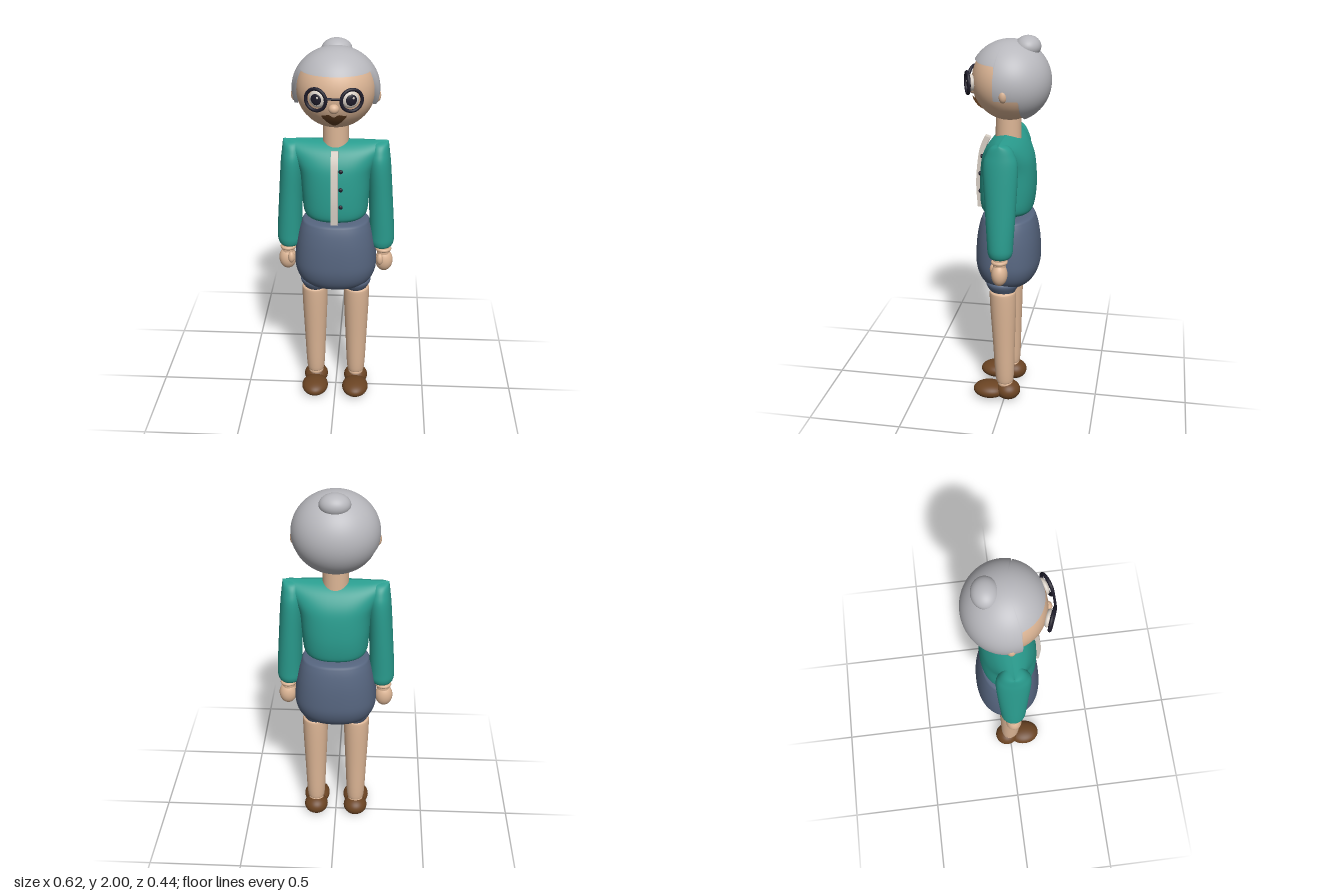
import * as THREE from 'three';
import { ParametricGeometry } from 'three/addons/geometries/ParametricGeometry.js';

const paint = (name, color, side = THREE.FrontSide) => {
  const m = new THREE.MeshStandardMaterial({ color, side });
  m.name = name;
  return m;
};

// Smooth closed loft through sections [y, centreX, centreZ, halfWidth, halfDepth], bottom to top.
function loft(sections, power = 2, sides = 40, steps = 5) {
  const pos = [], idx = [], n = sections.length;
  const rows = (n - 1) * steps;
  const at = (i, k) => sections[Math.min(n - 1, Math.max(0, i))][k];
  const spline = (t, k) => {
    const i = Math.min(n - 2, Math.floor(t)), f = t - i;
    const a = at(i, k), b = at(i + 1, k);
    const m0 = (b - at(i - 1, k)) / 2, m1 = (at(i + 2, k) - a) / 2;
    const f2 = f * f, f3 = f2 * f;
    return (2 * f3 - 3 * f2 + 1) * a + (f3 - 2 * f2 + f) * m0 + (3 * f2 - 2 * f3) * b + (f3 - f2) * m1;
  };
  const round = (c) => Math.sign(c) * Math.abs(c) ** (2 / power);
  for (let r = 0; r <= rows; r++) {
    const [y, cx, cz, rx, rz] = [0, 1, 2, 3, 4].map((k) => spline(r / steps, k));
    for (let s = 0; s < sides; s++) {
      const a = (s / sides) * Math.PI * 2;
      pos.push(cx + rx * round(Math.cos(a)), y, cz + rz * round(Math.sin(a)));
      if (r < rows) {
        const p = r * sides + s, q = r * sides + ((s + 1) % sides);
        idx.push(p, p + sides, q, q, p + sides, q + sides);
      }
    }
  }
  const g = new THREE.BufferGeometry();
  g.setAttribute('position', new THREE.Float32BufferAttribute(pos, 3));
  g.setIndex(idx);
  g.computeVertexNormals();
  return g;
}

// Hair cap: a sphere whose lower edge follows the fringe, sideburns and nape.
function hairCap() {
  const g = new THREE.SphereGeometry(1, 144, 40, 0, Math.PI * 2, 0, Math.PI / 2);
  const { position, normal, uv } = g.attributes;
  const edge = (s) => {
    if (s > 0.28) return Math.acos(0.507);
    if (s > -0.375) return Math.acos(-0.353);
    return Math.PI - Math.asin(0.351 / -s);
  };
  for (let i = 0; i < position.count; i++) {
    const phi = uv.getX(i) * Math.PI * 2, v = uv.getY(i) ? 1 - uv.getY(i) : 1;
    const t = v * edge(Math.sin(phi));
    const p = new THREE.Vector3(-Math.cos(phi) * Math.sin(t), Math.cos(t), Math.sin(phi) * Math.sin(t));
    normal.setXYZ(i, p.x, p.y, p.z);
    if (v > 0.999) p.multiplyScalar(0.93); // turned-in rim
    position.setXYZ(i, p.x, p.y, p.z);
  }
  return g;
}

export function createModel() {
  const model = new THREE.Group();
  model.name = 'elderlyFigure';
  const skin = paint('skin', 0xdcb595);
  const teal = paint('tealCardigan', 0x2a9d8f);
  const slate = paint('slateSkirt', 0x56657f);
  const brown = paint('brownShoe', 0x6b4423);
  const grey = paint('greyHair', 0xb8b8bd, THREE.DoubleSide);
  const dark = paint('darkFrame', 0x1f1d2b);
  const cream = paint('creamTrim', 0xd9d0c6);
  const lip = paint('brownMouth', 0x5c3a1e, THREE.DoubleSide);

  const add = (name, geometry, material, x = 0, y = 0, z = 0, parent = model) => {
    const m = new THREE.Mesh(geometry, material);
    m.name = name;
    m.position.set(x, y, z);
    parent.add(m);
    return m;
  };
  const ball = (name, material, x, y, z, rx, ry, rz, parent) => {
    const m = add(name, new THREE.SphereGeometry(1, 40, 28), material, x, y, z, parent);
    m.scale.set(rx, ry, rz);
    return m;
  };

  // Head, hair and neck
  ball('head', skin, 0, 1.775, -0.01, 0.2, 0.199, 0.192);
  add('hair', hairCap(), grey, 0, 1.773, -0.012).scale.set(0.22, 0.207, 0.208);
  ball('hairBun', grey, 0, 1.945, -0.1, 0.077, 0.055, 0.065);
  ball('nose', skin, 0, 1.724, 0.18, 0.026, 0.024, 0.024);
  add('neck', new THREE.CylinderGeometry(0.065, 0.067, 0.16, 40), skin, 0, 1.54, -0.003);

  // Mouth curved over the face
  const mouth = (u, v, p) => {
    const x = (u * 2 - 1) * 0.06, k = Math.abs(x) / 0.06;
    const top = 1.688 - 0.01 * Math.cos(k * Math.PI * 2) * (1 - k);
    const low = 1.622 + 0.055 * k ** 1.4;
    const y = low + (top - low) * v;
    p.set(x, y, 0.004 + 0.192 * Math.sqrt(1 - (x / 0.2) ** 2 - ((y - 1.775) / 0.199) ** 2));
  };
  add('mouth', new ParametricGeometry(mouth, 24, 8), lip);

  // Cardigan body, front band and buttons
  add('cardiganBody', loft([
    [1.08, 0, 0, 0, 0], [1.083, 0, 0, 0.1, 0.085], [1.095, 0, 0, 0.145, 0.122], [1.13, 0, 0, 0.167, 0.138],
    [1.22, 0, -0.003, 0.175, 0.145], [1.33, 0, -0.003, 0.185, 0.14], [1.4, 0, -0.002, 0.21, 0.125],
    [1.46, 0, 0, 0.245, 0.09], [1.495, 0, 0, 0.264, 0.045], [1.508, 0, 0, 0.262, 0],
  ], 2.4, 56), teal);
  const outer = [[0.118, 1.485], [0.145, 1.42], [0.16, 1.33], [0.167, 1.22], [0.16, 1.095]];
  const band = new THREE.Shape();
  band.moveTo(...outer[0]);
  band.splineThru(outer.slice(1).map((q) => new THREE.Vector2(...q)));
  band.lineTo(0.13, 1.095);
  band.splineThru([[0.137, 1.22], [0.13, 1.33], [0.115, 1.42], [0.09, 1.475]].map((q) => new THREE.Vector2(...q)));
  const bandGeo = new THREE.ExtrudeGeometry(band, { depth: 0.036, bevelEnabled: false, curveSegments: 10 });
  bandGeo.rotateY(-Math.PI / 2);
  add('frontBand', bandGeo, cream, 0.018);
  for (const [y, z] of [[1.38, 0.132], [1.286, 0.143], [1.19, 0.143]]) ball('button', dark, 0.032, y, z, 0.011, 0.011, 0.008);

  // Skirt
  add('skirt', loft([
    [0.668, 0, 0, 0, 0], [0.672, 0, 0, 0.07, 0.06], [0.69, 0, 0, 0.145, 0.11], [0.73, 0, -0.003, 0.193, 0.146],
    [0.79, 0, -0.005, 0.216, 0.167], [0.86, 0, -0.005, 0.217, 0.17], [0.96, 0, -0.005, 0.205, 0.162],
    [1.045, 0, -0.005, 0.182, 0.142], [1.07, 0, -0.005, 0.15, 0.115], [1.075, 0, -0.005, 0, 0],
  ], 2.3, 56), slate);

  // Glasses bridge
  const bridge = add('glassesBridge', new THREE.CylinderGeometry(0.006, 0.006, 0.066, 12), dark, 0, 1.782, 0.212);
  bridge.rotation.z = Math.PI / 2;

  for (const s of [1, -1]) {
    const side = s > 0 ? 'left' : 'right';
    ball(side + 'Ear', skin, s * 0.203, 1.737, -0.01, 0.022, 0.034, 0.022);

    // Eye and lens frame, turned to follow the face
    const eye = new THREE.Group();
    eye.name = side + 'EyeAndGlasses';
    eye.position.set(s * 0.086, 1.772, 0.19);
    eye.rotation.y = s * 0.38;
    model.add(eye);
    add('lensFrame', new THREE.TorusGeometry(0.053, 0.0085, 12, 40), dark, 0, 0, 0, eye);
    ball('eyeWhite', cream, 0, 0, -0.018, 0.043, 0.043, 0.02, eye);
    ball('pupil', dark, 0, 0, -0.004, 0.028, 0.028, 0.008, eye);
    ball('eyeGlint', cream, 0.009, 0.01, 0.001, 0.006, 0.006, 0.005, eye);

    // Sleeve, cuff ring, hand and thumb
    add(side + 'Sleeve', loft([
      [0.905, s * 0.246, 0, 0, 0], [0.908, s * 0.246, 0, 0.042, 0.045], [0.935, s * 0.246, -0.002, 0.062, 0.063],
      [1.0, s * 0.245, -0.002, 0.065, 0.068], [1.2, s * 0.235, -0.002, 0.062, 0.08],
      [1.38, s * 0.224, 0, 0.06, 0.088], [1.45, s * 0.222, 0, 0.054, 0.072],
      [1.49, s * 0.225, 0, 0.046, 0.045], [1.506, s * 0.228, 0, 0.04, 0],
    ]), teal);
    add(side + 'Wrist', new THREE.CylinderGeometry(0.033, 0.033, 0.06, 24), skin, s * 0.256, 0.895, 0);
    add(side + 'WristRing', new THREE.TorusGeometry(0.033, 0.01, 10, 32), skin, s * 0.256, 0.89, 0).rotation.x = Math.PI / 2;
    ball(side + 'Hand', skin, s * 0.26, 0.822, 0, 0.047, 0.062, 0.042);
    ball(side + 'Thumb', skin, s * 0.238, 0.84, 0.034, 0.018, 0.032, 0.02);

    // Leg with skirt hem, and shoe
    add(side + 'Hem', loft([
      [0.655, s * 0.11, 0.005, 0, 0], [0.656, s * 0.11, 0.005, 0.045, 0.05],
      [0.672, s * 0.11, 0.01, 0.064, 0.072], [0.72, s * 0.11, 0.01, 0.078, 0.085], [0.74, s * 0.11, 0.01, 0, 0],
    ]), slate);
    add(side + 'Leg', loft([
      [0.1, s * 0.114, -0.002, 0, 0], [0.105, s * 0.114, -0.002, 0.035, 0.035], [0.135, s * 0.114, -0.001, 0.049, 0.05],
      [0.35, s * 0.114, 0.003, 0.059, 0.06], [0.62, s * 0.114, 0.008, 0.069, 0.071],
      [0.665, s * 0.114, 0.009, 0.058, 0.06], [0.68, s * 0.114, 0.009, 0, 0],
    ]), skin);
    ball(side + 'Ankle', skin, s * 0.114, 0.095, -0.005, 0.042, 0.03, 0.042);
    ball(side + 'ShoeToe', brown, s * 0.114, 0.046, 0.085, 0.073, 0.044, 0.09);
    ball(side + 'ShoeHeel', brown, s * 0.114, 0.053, -0.02, 0.067, 0.053, 0.068);
  }
  return model;
}
